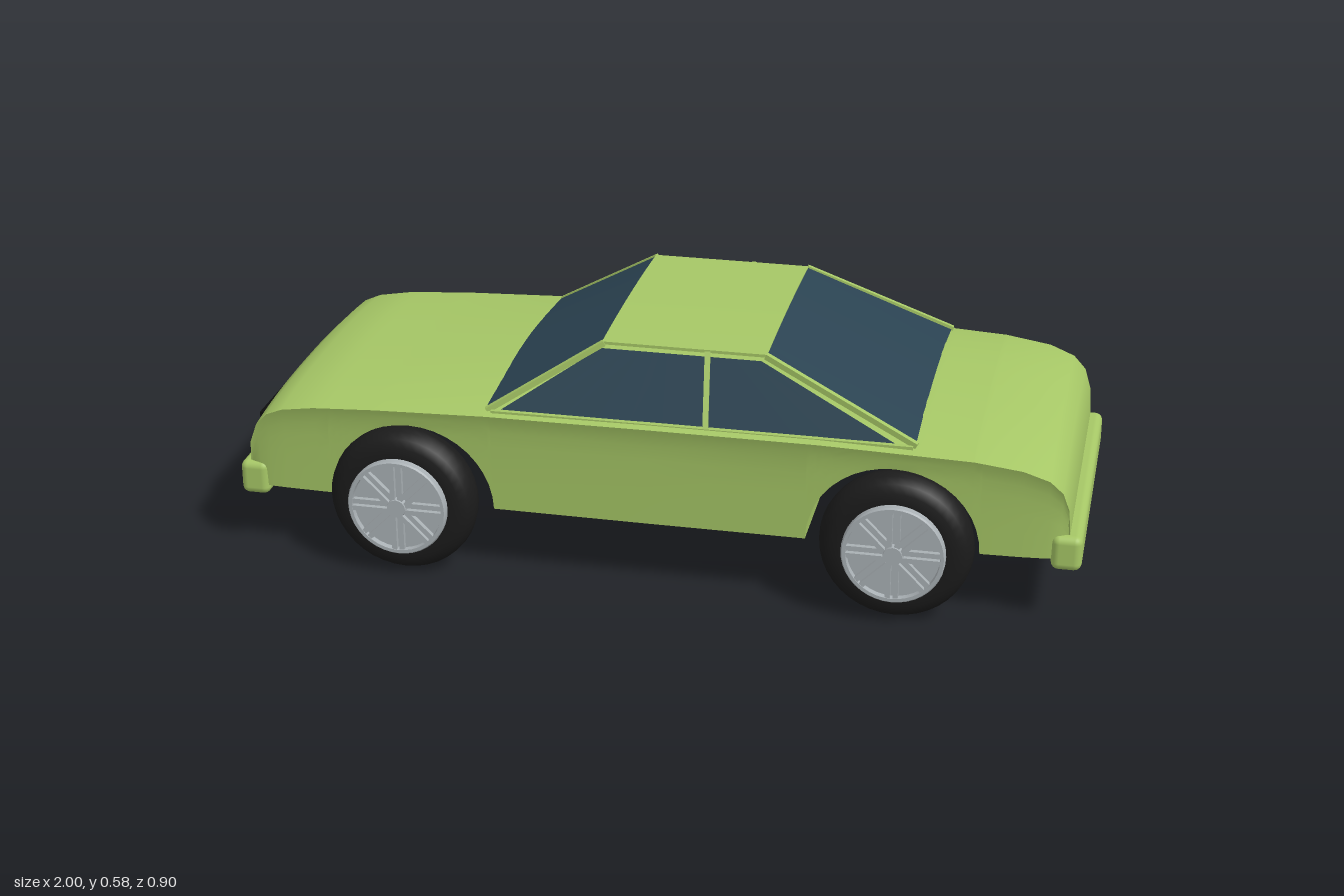
import * as THREE from 'three';
import { toCreasedNormals } from 'three/addons/utils/BufferGeometryUtils.js';
import { RoundedBoxGeometry } from 'three/addons/geometries/RoundedBoxGeometry.js';

const mat = (name, color, side = THREE.FrontSide) => {
  const m = new THREE.MeshStandardMaterial({ color, side });
  m.name = name;
  return m;
};
const V = (x, y, z) => new THREE.Vector3(x, y, z);

// Piecewise linear lookup in rows of [key, value, value...]
function lookup(rows, key, col) {
  if (key <= rows[0][0]) return rows[0][col];
  for (let i = 1; i < rows.length; i++) {
    const a = rows[i - 1], b = rows[i];
    if (key <= b[0]) return a[col] + (b[col] - a[col]) * (key - a[0]) / (b[0] - a[0]);
  }
  return rows[rows.length - 1][col];
}

const AXLE = 0.583, ARCH_X = 0.57, ARCH_R = 0.2, SILL = 0.16, TRACK = 0.378, WHEEL_R = 0.178;

// x, shoulder height, crown height, half width
const BODY = [
  [-0.978, 0.205, 0.22, 0.345], [-0.968, 0.275, 0.295, 0.36], [-0.948, 0.325, 0.347, 0.368],
  [-0.92, 0.355, 0.373, 0.373], [-0.88, 0.372, 0.392, 0.376], [-0.8, 0.385, 0.404, 0.379],
  [-0.65, 0.395, 0.415, 0.383], [-0.38, 0.405, 0.438, 0.386], [0, 0.408, 0.438, 0.388],
  [0.4, 0.408, 0.438, 0.387], [0.62, 0.402, 0.437, 0.385], [0.75, 0.397, 0.427, 0.381],
  [0.86, 0.382, 0.408, 0.376], [0.92, 0.36, 0.384, 0.37], [0.95, 0.33, 0.355, 0.363],
  [0.965, 0.285, 0.315, 0.353], [0.97, 0.22, 0.235, 0.345],
];
// depth below the shoulder, width factor
const FLANK = [[0, 1], [0.015, 0.988], [0.045, 0.973], [0.1, 0.963], [0.25, 0.945]];

function bottomAt(x) {
  const d = Math.abs(Math.abs(x) - ARCH_X);
  return d >= ARCH_R ? SILL : SILL + Math.sqrt(ARCH_R * ARCH_R - d * d);
}

// Body lofted from cross-sections along x, with arches cut up through the underside
function bodyGeometry() {
  const xs = BODY.map(r => r[0]);
  for (const s of [-1, 1]) {
    for (let i = 0; i <= 20; i++) xs.push(s * ARCH_X + ARCH_R * Math.cos(Math.PI * i / 20));
  }
  const stations = [...new Set(xs.map(x => +x.toFixed(4)))].sort((a, b) => a - b);
  const pos = [], idx = [], ROWS = 7, TOP = 16;
  let n = 0;
  for (const x of stations) {
    const [s, c, w] = [1, 2, 3].map(k => lookup(BODY, x, k));
    const yb = Math.min(bottomAt(x), s - 0.01), half = [];
    for (let i = 0; i < ROWS; i++) {
      const t = i / ROWS, y = yb + (s - yb) * (1 - (1 - t) * (1 - t));
      half.push([y, w * lookup(FLANK, s - y, 1)]);
    }
    const ring = [...half];
    for (let i = 0; i <= TOP; i++) {
      const u = Math.cos(Math.PI * i / TOP);
      ring.push([s + (c - s) * (1 - Math.abs(u) ** 2.5), w * u]);
    }
    half.reverse().forEach(([y, z]) => ring.push([y, -z]));
    n = ring.length;
    ring.forEach(([y, z]) => pos.push(x, y, z));
  }
  const last = stations.length - 1;
  for (let i = 0; i < last; i++) {
    for (let j = 0; j < n; j++) {
      const k = (j + 1) % n, a = i * n + j, b = i * n + k, d = a + n, e = b + n;
      idx.push(a, d, e, a, e, b);
    }
  }
  // end caps
  const c0 = pos.length / 3;
  pos.push(stations[0], 0.185, 0, stations[last], 0.19, 0);
  for (let j = 0; j < n; j++) {
    const k = (j + 1) % n;
    idx.push(c0, j, k, c0 + 1, last * n + k, last * n + j);
  }
  const g = new THREE.BufferGeometry();
  g.setAttribute('position', new THREE.Float32BufferAttribute(pos, 3));
  g.setIndex(idx);
  return toCreasedNormals(g, 0.7);
}

// Thin pane between a lower and an upper edge, each bowed upward in the middle
function pane(a0, a1, bowA, b0, b1, bowB) {
  const g = new THREE.PlaneGeometry(1, 1, 12, 1), p = g.attributes.position;
  for (let i = 0; i < p.count; i++) {
    const t = p.getX(i) + 0.5, bow = 4 * t * (1 - t);
    const lo = a0.clone().lerp(a1, t), hi = b0.clone().lerp(b1, t);
    lo.y += bowA * bow;
    hi.y += bowB * bow;
    const v = lo.lerp(hi, p.getY(i) + 0.5);
    p.setXYZ(i, v.x, v.y, v.z);
  }
  g.computeVertexNormals();
  return g;
}

export function createModel() {
  const car = new THREE.Group();
  car.name = 'car';
  const paint = mat('green paint', 0xa6c766);
  const glass = mat('dark blue glass', 0x2b4352, THREE.DoubleSide);
  const rubber = mat('black rubber', 0x1b1b1b);
  const metal = mat('silver metal', 0xa9b0b4);
  const black = mat('grille black', 0x0c0c0c);
  const add = (parent, name, geo, material) => {
    const m = new THREE.Mesh(geo, material);
    m.name = name;
    parent.add(m);
    return m;
  };
  const bar = (name, a, b, w) => {
    const m = add(car, name, new THREE.BoxGeometry(w, w, a.distanceTo(b)), paint);
    m.position.copy(a).add(b).multiplyScalar(0.5);
    m.lookAt(b);
  };

  add(car, 'body', bodyGeometry(), paint);

  // Gently crowned roof
  const roof = new THREE.BoxGeometry(0.385, 0.007, 0.575, 1, 1, 12);
  const rp = roof.attributes.position;
  for (let i = 0; i < rp.count; i++) rp.setY(i, rp.getY(i) + 0.007 * (1 - (rp.getZ(i) / 0.2875) ** 2));
  roof.computeVertexNormals();
  add(car, 'roof', roof, paint).position.set(0.07, 0.572, 0);

  // Front and rear windows
  add(car, 'windscreen', pane(V(-0.385, 0.413, -0.35), V(-0.385, 0.413, 0.35), 0.025,
    V(-0.12, 0.575, -0.28), V(-0.12, 0.575, 0.28), 0.006), glass);
  add(car, 'rearWindow', pane(V(0.615, 0.413, 0.35), V(0.615, 0.413, -0.35), 0.025,
    V(0.26, 0.575, 0.28), V(0.26, 0.575, -0.28), 0.006), glass);

  // Side windows and pillars
  for (const s of [1, -1]) {
    add(car, 'sideWindow', pane(V(-0.36, 0.406, s * 0.36), V(0.585, 0.406, s * 0.357), 0,
      V(-0.125, 0.56, s * 0.29), V(0.25, 0.56, s * 0.29), 0), glass);
    bar('frontPillar', V(-0.382, 0.41, s * 0.358), V(-0.118, 0.572, s * 0.286), 0.013);
    bar('middlePillar', V(0.135, 0.405, s * 0.363), V(0.125, 0.572, s * 0.288), 0.013);
    bar('rearPillar', V(0.618, 0.413, s * 0.354), V(0.26, 0.572, s * 0.286), 0.013);
    bar('windowSill', V(-0.37, 0.408, s * 0.364), V(0.61, 0.408, s * 0.36), 0.012);
  }

  // Bumpers and grille
  for (const s of [-1, 1]) {
    add(car, s < 0 ? 'frontBumper' : 'rearBumper',
      new RoundedBoxGeometry(0.07, 0.085, 0.725, 3, 0.018), paint).position.set(s * 0.965, 0.178, 0);
  }
  add(car, 'grille', new THREE.BoxGeometry(0.008, 0.075, 0.43), black).position.set(-0.994, 0.248, 0);

  // Wheels, modelled around y and turned to face outward
  const tyre = new THREE.LatheGeometry([
    [0.065, -0.036], [0.09, -0.045], [0.12, -0.05], [0.145, -0.048], [0.164, -0.037], [0.175, -0.019],
    [0.178, 0], [0.175, 0.019], [0.164, 0.037], [0.145, 0.048], [0.12, 0.05], [0.1, 0.047],
  ].map(p => new THREE.Vector2(...p)), 40);
  const lip = toCreasedNormals(new THREE.LatheGeometry([
    [0.119, 0.04], [0.119, 0.066], [0.116, 0.07], [0.108, 0.07], [0.106, 0.055],
  ].map(p => new THREE.Vector2(...p)), 40), 0.6);
  const disc = new THREE.CylinderGeometry(0.11, 0.11, 0.02, 40);
  const hub = new THREE.CylinderGeometry(0.022, 0.026, 0.02, 16);
  const inner = new THREE.CylinderGeometry(0.068, 0.068, 0.06, 24);
  const spoke = new THREE.BoxGeometry(0.09, 0.015, 0.012);
  for (const x of [-AXLE, AXLE]) {
    for (const s of [1, -1]) {
      const wheel = new THREE.Group();
      wheel.name = (x < 0 ? 'front' : 'rear') + 'Wheel';
      wheel.position.set(x, WHEEL_R, s * TRACK);
      wheel.rotation.x = s * Math.PI / 2;
      add(wheel, 'tyre', tyre, rubber);
      add(wheel, 'rimLip', lip, metal);
      add(wheel, 'rimDisc', disc, metal).position.y = 0.047;
      add(wheel, 'innerHub', inner, metal);
      add(wheel, 'hubCap', hub, metal).position.y = 0.062;
      for (let i = 0; i < 8; i++) {
        const a = i * Math.PI / 4;
        for (const o of [-0.009, 0.009]) {
          const arm = add(wheel, 'spoke', spoke, metal);
          arm.position.set(0.064 * Math.cos(a) + o * Math.sin(a), 0.061, -0.064 * Math.sin(a) + o * Math.cos(a));
          arm.rotation.y = a;
        }
      }
      car.add(wheel);
    }
  }
  return car;
}
